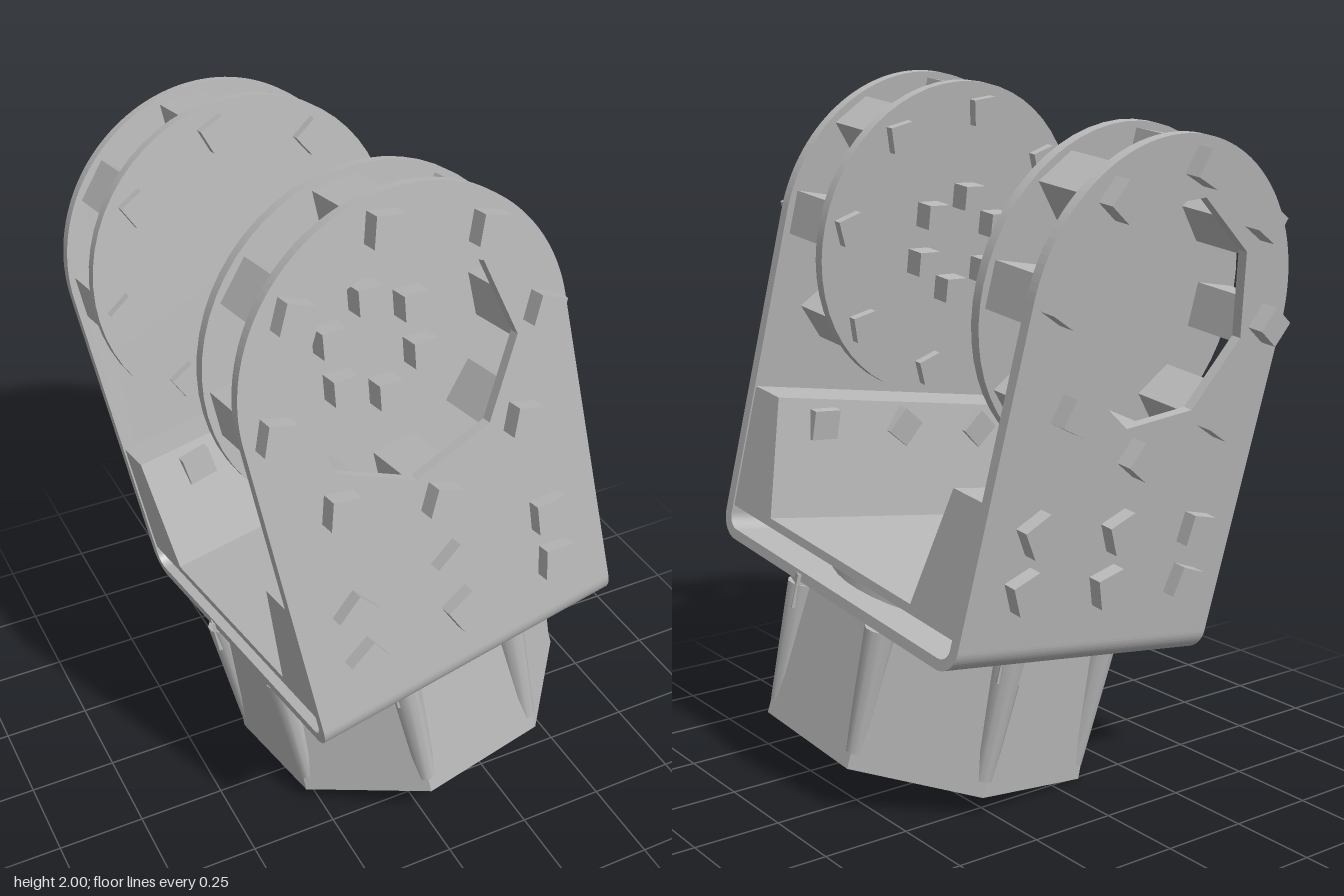
import * as THREE from 'three';

const grey = new THREE.MeshStandardMaterial({ color: 0xb8b8b8 });
const W = 0.935, R = W / 2, D = 0.558, T = 0.03, AXLE = 0.98, INNER = 0.335;

function add(parent, name, geometry, x = 0, y = 0, z = 0) {
  const mesh = new THREE.Mesh(geometry, grey);
  mesh.name = name;
  mesh.position.set(x, y, z);
  parent.add(mesh);
  return mesh;
}

const box = (w, h, d) => new THREE.BoxGeometry(w, h, d);

// Extrudes a (z, y) profile across the width of the bracket
function acrossWidth(shape, width) {
  const g = new THREE.ExtrudeGeometry(shape, { depth: width, bevelEnabled: false, curveSegments: 8 });
  return g.rotateY(-Math.PI / 2).translate(width / 2, 0, 0);
}

// Bolt block running from z0 to z1
function bolt(parent, name, x, y, z0, z1, size, spin) {
  add(parent, name, box(size, size, z1 - z0), x, y, (z0 + z1) / 2).rotation.z = spin;
}

// One arm: round-topped plate, inner disc, spacers, bolts and foot block
function makeArm(hasHubBolts) {
  const arm = new THREE.Group();

  const plate = new THREE.Shape();
  plate.moveTo(-R, 0.07);
  plate.lineTo(R, 0.07);
  plate.lineTo(R, AXLE);
  plate.absarc(0, AXLE, R, 0, Math.PI, false);
  plate.closePath();
  const hole = new THREE.Path();
  for (let i = 0; i < 8; i++) {
    const a = -i * Math.PI / 4 - 0.15;
    const x = 0.315 * Math.cos(a), y = AXLE + 0.315 * Math.sin(a);
    if (i) hole.lineTo(x, y); else hole.moveTo(x, y);
  }
  hole.closePath();
  plate.holes.push(hole);
  add(arm, 'armPlate', new THREE.ExtrudeGeometry(plate, { depth: T, bevelEnabled: false, curveSegments: 32 }), 0, 0, D - T);

  add(arm, 'innerDisc', new THREE.CylinderGeometry(R, R, T, 56).rotateX(Math.PI / 2), 0, AXLE, INNER + T / 2);

  // Spacers and rim bolts
  for (let i = 0; i < 8; i++) {
    const a = i * Math.PI / 4, c = Math.cos(a), s = Math.sin(a);
    const gap = D - INNER - 2 * T;
    add(arm, 'spacer', box(0.135, 0.125, gap + 0.004), 0.378 * c, AXLE + 0.378 * s, INNER + T + gap / 2).rotation.z = a;
    const spin = -0.5 + 0.1 * (i % 3);
    bolt(arm, 'outerRimBolt', 0.388 * c, AXLE + 0.388 * s, D - 0.01, D + 0.05, 0.08, spin);
    bolt(arm, 'innerRimBolt', 0.388 * c, AXLE + 0.388 * s, INNER - 0.025, INNER + 0.01, 0.075, spin);
  }

  // Hub bolts passing through the disc
  if (hasHubBolts) for (let i = 0; i < 6; i++) {
    const a = Math.PI / 2 + i * Math.PI / 3;
    bolt(arm, 'hubBolt', 0.138 * Math.cos(a), AXLE + 0.138 * Math.sin(a), INNER - 0.06, INNER + T + 0.06, 0.07, -0.15);
  }

  // Tapered foot block
  const foot = new THREE.Shape();
  foot.moveTo(D - T, 0.1);
  foot.lineTo(D - T, 0.46);
  foot.lineTo(D - 0.15, 0.46);
  foot.lineTo(D - 0.225, 0.1);
  foot.closePath();
  add(arm, 'footBlock', acrossWidth(foot, W - 0.01));

  // Foot bolts; only the upper row comes through the block
  [-0.3, 0, 0.3].forEach((x, i) => [0.235, 0.39].forEach((y, j) => {
    const inside = j ? D - 0.185 : D - 0.01;
    bolt(arm, 'footBolt', x, y, inside, D + 0.04, 0.088, [0.5, 0.4, -0.2][i] + 0.12 * j);
  }));
  return arm;
}

// Bent base strip with rounded corners
function baseStrip() {
  const s = new THREE.Shape(), r = 0.07, q = Math.PI / 2;
  s.moveTo(-D, r + 0.002);
  s.absarc(-D + r, r, r, Math.PI, 3 * q, false);
  s.absarc(D - r, r, r, 3 * q, 4 * q, false);
  s.lineTo(D - T, r);
  s.absarc(D - r, r, r - T, 0, -q, true);
  s.absarc(-D + r, r, r - T, -q, -2 * q, true);
  s.closePath();
  return acrossWidth(s, W);
}

// Eight-sided motor housing below the bracket
function makeMotor() {
  const motor = new THREE.Group();
  const octagon = (r0, r1, h) => {
    const g = new THREE.CylinderGeometry(r0, r1, h, 8, 1).rotateY(Math.PI / 8).toNonIndexed();
    g.computeVertexNormals();
    return g;
  };
  add(motor, 'housing', octagon(0.475, 0.495, 0.41), 0, -0.21, 0);
  add(motor, 'topCollar', octagon(0.44, 0.44, 0.03), 0, -0.008, 0);
  add(motor, 'neck', new THREE.CylinderGeometry(0.38, 0.38, 0.1, 40), 0, 0.06, 0);
  add(motor, 'bottomPanel', octagon(0.4, 0.4, 0.008), 0, -0.417, 0);
  add(motor, 'squareCover', box(0.43, 0.008, 0.43), 0, -0.423, 0).rotation.y = Math.PI / 4;

  for (let i = 0; i < 8; i++) {
    const corner = new THREE.Group();
    corner.rotation.y = Math.PI / 8 + i * Math.PI / 4;
    motor.add(corner);
    // Corner rib, thicker at the top
    add(corner, 'cornerRib', new THREE.CylinderGeometry(0.045, 0.028, 0.36, 10), 0, -0.19, 0.466);
    if (i % 2) add(corner, 'clip', box(0.07, 0.1, 0.035), 0, -0.03, 0.478);
  }
  motor.rotation.y = 0.04;
  return motor;
}

export function createModel() {
  const model = new THREE.Group();
  const bracket = new THREE.Group();
  bracket.name = 'tiltedBracket';
  model.add(bracket);

  add(bracket, 'baseStrip', baseStrip());
  add(bracket, 'floor', box(W - 0.01, 0.025, 2 * (D - T)), 0, 0.105, 0);

  const front = makeArm(true);
  front.name = 'frontArm';
  const back = makeArm(false);
  back.name = 'backArm';
  back.rotation.y = Math.PI;
  const motor = makeMotor();
  motor.name = 'motor';
  bracket.add(front, back, motor);

  // Lean of the whole assembly
  const up = new THREE.Vector3(-0.163, 0.978, -0.127).normalize();
  const right = new THREE.Vector3().crossVectors(up, new THREE.Vector3(0.054, 0.134, 0.99)).normalize();
  const forward = new THREE.Vector3().crossVectors(right, up);
  bracket.quaternion.setFromRotationMatrix(new THREE.Matrix4().makeBasis(right, up, forward));
  bracket.position.set(0.073, 0.505, 0.113);
  return model;
}
